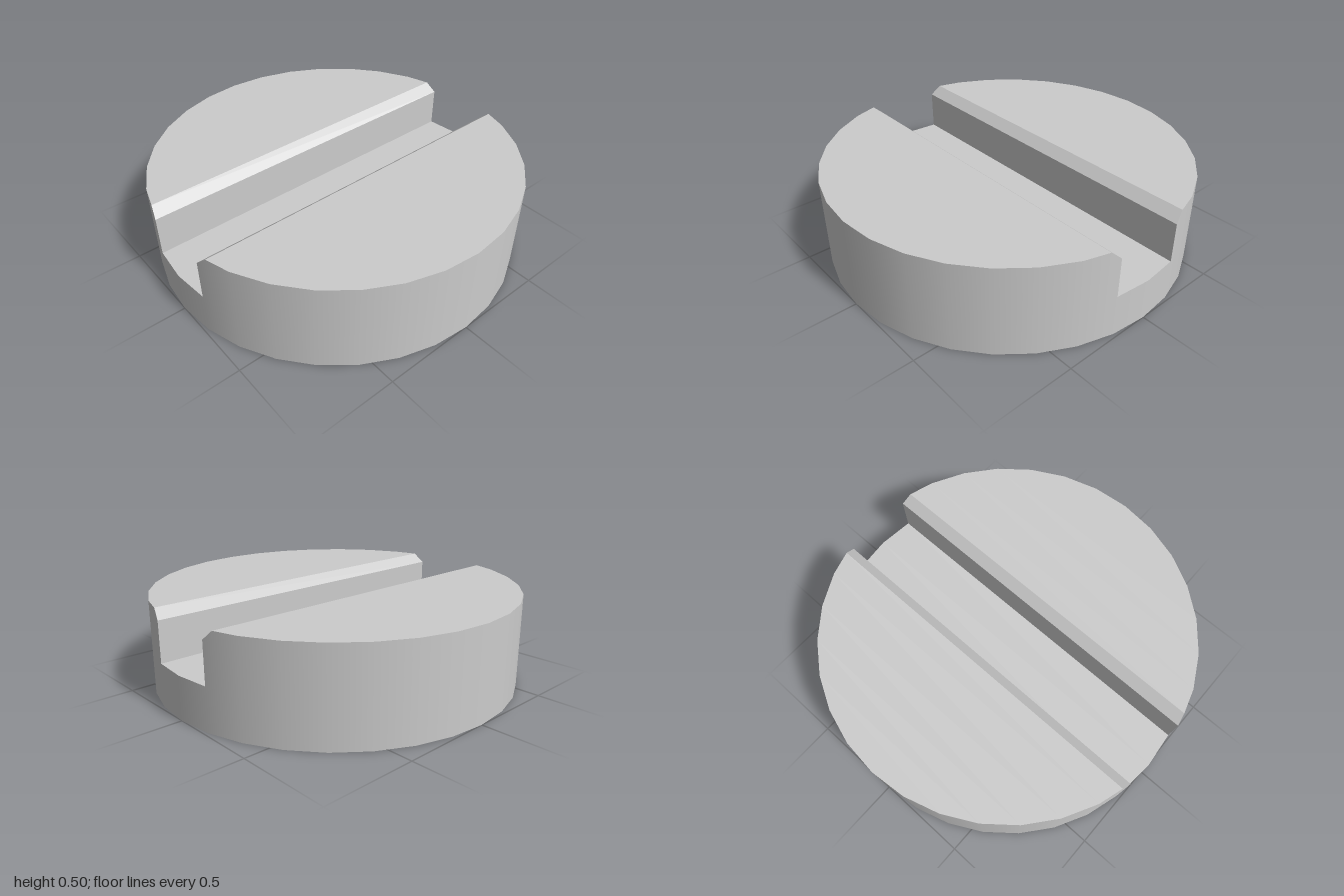
import * as THREE from 'three';

const SIDES = 32;      // rim facets
const HEIGHT = 0.5;
const FLOOR = 0.23;    // height of the groove floor
const SHOULDER = 0.45; // where the groove chamfer starts
const CHAMFER_Z = 0.25;

// Sections across the disc along z: [half width, top height, z]
function sections() {
  const step = (Math.PI * 2) / SIDES;
  const rim = (k) => [Math.cos(k * step), Math.sin(k * step)];
  const half = [];
  const [w1, z1] = rim(1), [w2, z2] = rim(2);
  // groove floor edge, top of groove wall, outer edge of chamfer
  half.push([w1, FLOOR, z1], [w1, SHOULDER, z1]);
  half.push([THREE.MathUtils.mapLinear(CHAMFER_Z, z1, z2, w1, w2), HEIGHT, CHAMFER_Z]);
  for (let k = 2; k <= SIDES / 4; k++) {
    const [w, z] = rim(k);
    half.push([k === SIDES / 4 ? 0 : w, HEIGHT, z]);
  }
  const back = half.map(([w, h, z]) => [w, h, -z]).reverse();
  return [...back, [1, FLOOR, 0], ...half];
}

function discGeometry() {
  const position = [], normal = [];

  // Quad with a flat normal, or radial normals for the smooth rim
  function quad(corners, radial) {
    const [a, b, c, d] = corners.map((p) => new THREE.Vector3(...p));
    const flat = c.clone().sub(a).cross(d.clone().sub(b)).normalize();
    for (const [p, q, r] of [[a, b, c], [a, c, d]]) {
      if (new THREE.Triangle(p, q, r).getArea() < 1e-7) continue;
      for (const v of [p, q, r]) {
        const n = radial ? new THREE.Vector3(v.x, 0, v.z).normalize() : flat;
        position.push(v.x, v.y, v.z);
        normal.push(n.x, n.y, n.z);
      }
    }
  }

  const list = sections();
  for (let i = 0; i < list.length - 1; i++) {
    const [w0, h0, z0] = list[i];
    const [w1, h1, z1] = list[i + 1];
    // top, chamfers, groove walls and floor
    quad([[-w0, h0, z0], [-w1, h1, z1], [w1, h1, z1], [w0, h0, z0]], false);
    // underside
    quad([[-w0, 0, z0], [w0, 0, z0], [w1, 0, z1], [-w1, 0, z1]], false);
    // rim on both sides
    quad([[w1, 0, z1], [w0, 0, z0], [w0, h0, z0], [w1, h1, z1]], true);
    quad([[-w0, 0, z0], [-w1, 0, z1], [-w1, h1, z1], [-w0, h0, z0]], true);
  }

  const geometry = new THREE.BufferGeometry();
  geometry.setAttribute('position', new THREE.Float32BufferAttribute(position, 3));
  geometry.setAttribute('normal', new THREE.Float32BufferAttribute(normal, 3));
  return geometry;
}

export function createModel() {
  const group = new THREE.Group();
  group.name = 'slottedDisc';
  const disc = new THREE.Mesh(
    discGeometry(),
    new THREE.MeshStandardMaterial({ color: 0xcccccc })
  );
  disc.name = 'groovedDisc';
  group.add(disc);
  return group;
}
